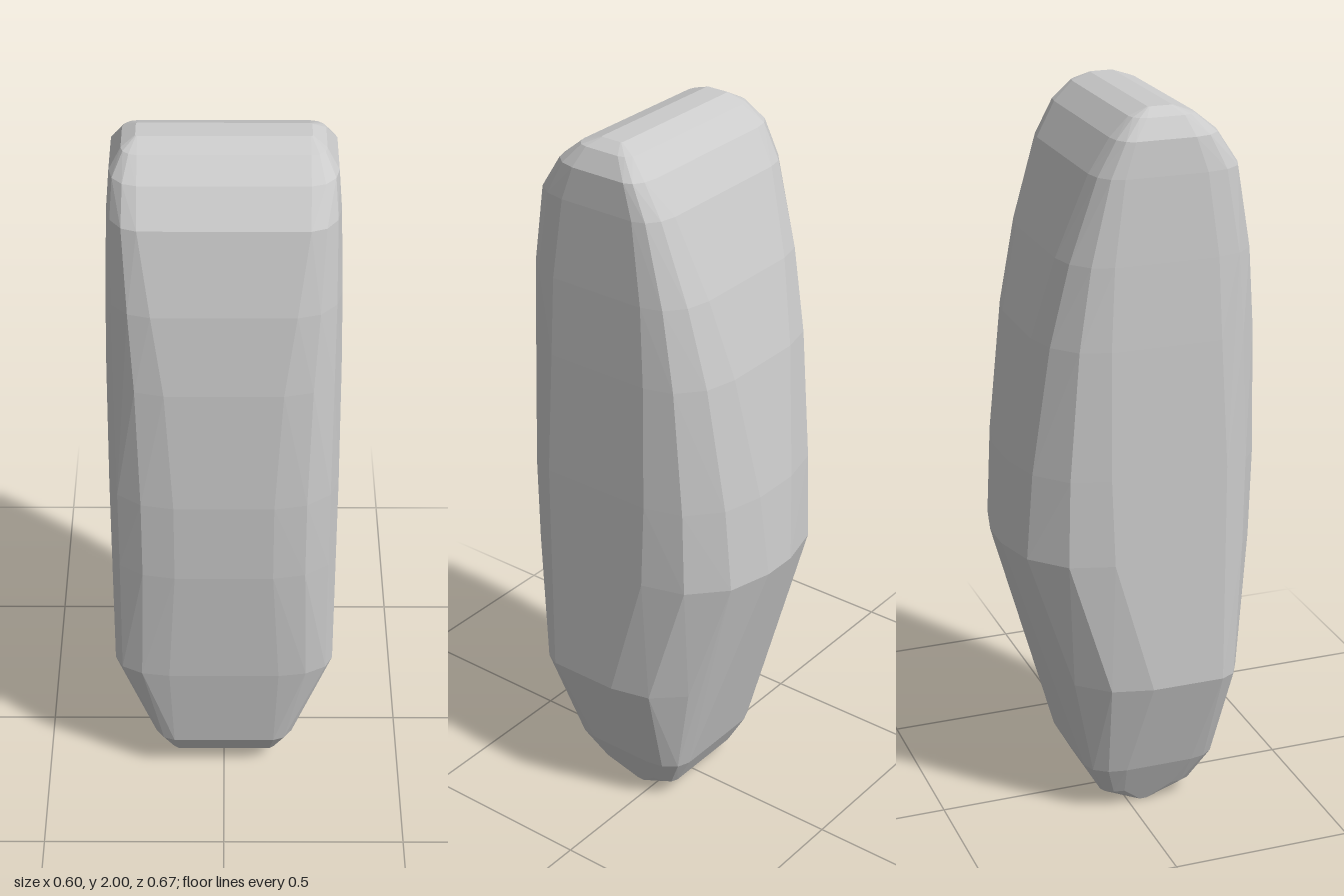
import * as THREE from 'three';
import { ConvexGeometry } from 'three/addons/geometries/ConvexGeometry.js';

// Each ring: height, half width, front z, back z, half width of the flat front
// and back, then front and back z of the flat side
const RINGS = [
  [0.0, 0.13, 0.06, 0.03, 0.11, 0.11, 0.055, 0.035],
  [0.05, 0.155, 0.18, -0.08, 0.13, 0.12, 0.12, -0.02],
  [0.14, 0.2, 0.24, -0.13, 0.14, 0.13, 0.16, -0.03],
  [0.43, 0.3, 0.288, -0.21, 0.15, 0.1, 0.21, 0.01],
  [0.81, 0.3, 0.325, -0.333, 0.13, 0.05, 0.21, -0.1],
  [1.05, 0.3, 0.333, -0.315, 0.13, 0.07, 0.21, -0.11],
  [1.4, 0.298, 0.324, -0.265, 0.15, 0.12, 0.19, -0.11],
  [1.62, 0.294, 0.303, -0.212, 0.18, 0.16, 0.18, -0.1],
  [1.84, 0.287, 0.26, -0.137, 0.21, 0.2, 0.15, -0.07],
  [1.93, 0.28, 0.2, -0.085, 0.21, 0.21, 0.12, -0.04],
  [1.98, 0.25, 0.138, -0.035, 0.21, 0.21, 0.1, 0],
  [2.0, 0.215, 0.08, 0.015, 0.21, 0.21, 0.075, 0.02],
];
const STEPS = 3;

export function createModel() {
  const points = [];
  for (const [y, w, zf, zb, flatF, flatB, sideF, sideB] of RINGS) {
    for (const [z, flat, side] of [[zf, flatF, sideF], [zb, flatB, sideB]]) {
      // Rounded corner from the flat side to the flat front or back, mirrored in x
      for (let i = 0; i <= STEPS; i++) {
        const a = (i / STEPS) * Math.PI / 2;
        const x = flat + (w - flat) * Math.cos(a);
        const pz = side + (z - side) * Math.sin(a);
        points.push(new THREE.Vector3(x, y, pz), new THREE.Vector3(-x, y, pz));
      }
    }
  }

  // Faceted convex stone
  const stone = new THREE.Mesh(
    new ConvexGeometry(points),
    new THREE.MeshStandardMaterial({ color: 0xcccccc, flatShading: true })
  );
  stone.name = 'stone';

  const group = new THREE.Group();
  group.name = 'standingStone';
  group.add(stone);
  return group;
}
